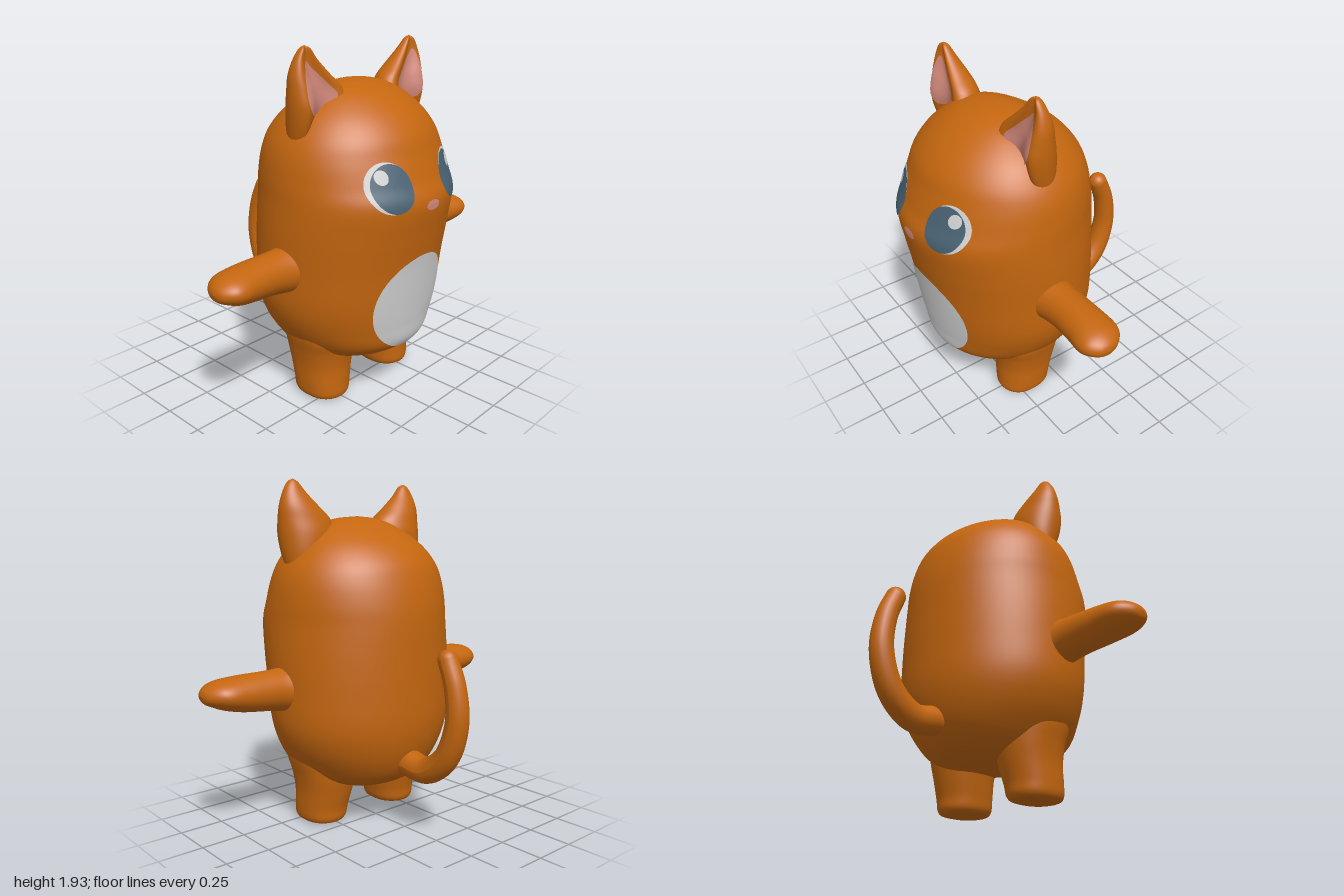
import * as THREE from 'three';

const mat = (name, color) => {
  const m = new THREE.MeshStandardMaterial({ color });
  m.name = name;
  return m;
};

// Smoothly resample rows of [t, a0, a1, b0, b1]
function smoothRows(rows, n) {
  const p = new THREE.CatmullRomCurve3(rows.map(r => new THREE.Vector3(r[0], r[1], r[2])), false, 'catmullrom');
  const q = new THREE.CatmullRomCurve3(rows.map(r => new THREE.Vector3(r[0], r[3], r[4])), false, 'catmullrom');
  return Array.from({ length: n + 1 }, (_, i) => {
    const u = p.getPoint(i / n), v = q.getPoint(i / n);
    return [u.x, u.y, u.z, v.y, v.z];
  });
}

const round = s => s;
const cupped = s => (s > 0 ? s * (1 - 0.75 * s ** 4) : s); // hollow on the front side

// Skin a stack of oval sections; place() maps (t, a, b) to a point
function loft(rows, place, profile = round, segs = 56) {
  const pos = [], idx = [];
  rows.forEach(([t, a0, a1, b0, b1], i) => {
    for (let j = 0; j < segs; j++) {
      const th = (j / segs) * Math.PI * 2;
      pos.push(...place(t,
        (a0 + a1) / 2 + ((a1 - a0) / 2) * Math.cos(th),
        (b0 + b1) / 2 + ((b1 - b0) / 2) * profile(Math.sin(th))));
      if (i === rows.length - 1) continue;
      const k = (j + 1) % segs, p = i * segs, q = p + segs;
      idx.push(p + j, q + j, p + k, p + k, q + j, q + k);
    }
  });
  // Turn faces outward if the signed volume is negative
  const v = i => new THREE.Vector3().fromArray(pos, i * 3);
  let vol = 0;
  for (let i = 0; i < idx.length; i += 3) vol += v(idx[i]).dot(v(idx[i + 1]).cross(v(idx[i + 2])));
  if (vol < 0) idx.reverse();
  return geometry(pos, idx);
}

function geometry(pos, idx) {
  const g = new THREE.BufferGeometry();
  g.setAttribute('position', new THREE.Float32BufferAttribute(pos, 3));
  g.setIndex(idx);
  g.computeVertexNormals();
  return g;
}

// Front z of a lofted surface at (x, y)
const frontOf = (rows, profile = round) => (x, y) => {
  let i = 0;
  while (i < rows.length - 2 && rows[i + 1][0] < y) i++;
  const f = (y - rows[i][0]) / (rows[i + 1][0] - rows[i][0]);
  const [, a0, a1, b0, b1] = rows[i].map((v, k) => THREE.MathUtils.lerp(v, rows[i + 1][k], f));
  const u = THREE.MathUtils.clamp((x - (a0 + a1) / 2) / ((a1 - a0) / 2), -1, 1);
  return (b0 + b1) / 2 + ((b1 - b0) / 2) * profile(Math.sqrt(1 - u * u));
};

// Thin painted patch that follows a surface; outline runs counter-clockwise
function patch(cx, cy, outline, zAt, lift, rings = 8) {
  const pos = [], idx = [], n = outline.length;
  for (let r = 0; r <= rings; r++) {
    outline.forEach(([px, py], j) => {
      const x = cx + ((px - cx) * r) / rings, y = cy + ((py - cy) * r) / rings;
      pos.push(x, y, zAt(x, y) + lift);
      if (r === rings) return;
      const k = (j + 1) % n, a = r * n, b = a + n;
      idx.push(a + j, b + j, b + k, a + j, b + k, a + k);
    });
  }
  return geometry(pos, idx);
}

const oval = (cx, cy, rx, ry, n = 48) => Array.from({ length: n }, (_, i) => {
  const a = (i / n) * Math.PI * 2;
  return [cx + rx * Math.cos(a), cy + ry * Math.sin(a)];
});

export function createModel() {
  const model = new THREE.Group();
  model.name = 'cat';
  const fur = mat('orange fur', 0xc4660f), white = mat('white', 0xd2d2d2);
  const pink = mat('pink', 0xd2877a), iris = mat('slate blue', 0x496273);
  const add = (name, geo, material) => {
    const m = new THREE.Mesh(geo, material);
    m.name = name;
    model.add(m);
    return m;
  };
  const upright = (t, a, b) => [a, t, b];
  const sideways = (t, a, b) => [t, a, b];

  // Body: [y, half width, back z, front z]
  const body = smoothRows([
    [0.215, 0, 0.16, 0.16], [0.225, 0.2, -0.06, 0.34], [0.28, 0.34, -0.19, 0.48],
    [0.36, 0.42, -0.265, 0.58], [0.48, 0.495, -0.315, 0.605], [0.62, 0.538, -0.34, 0.625],
    [0.82, 0.545, -0.342, 0.653], [1.0, 0.545, -0.338, 0.685], [1.17, 0.536, -0.332, 0.71],
    [1.28, 0.528, -0.32, 0.67], [1.4, 0.508, -0.292, 0.625], [1.5, 0.465, -0.25, 0.585],
    [1.6, 0.385, -0.16, 0.505], [1.69, 0.262, -0.02, 0.385], [1.735, 0.14, 0.08, 0.27],
    [1.75, 0, 0.16, 0.16],
  ].map(([y, w, b, f]) => [y, -w, w, b, f]), 90);
  add('body', loft(body, upright, round, 72), fur);
  const face = frontOf(body);

  // Belly and nose
  add('belly', patch(0, 0.61, oval(0, 0.61, 0.27, 0.275, 64), face, 0.005, 12), white);
  add('nose', patch(0, 1.165, oval(0, 1.165, 0.05, 0.026), face, 0.006), pink);

  const earRows = [
    [1.45, 0.28, 0.46, 0.1, 0.26], [1.55, 0.22, 0.478, 0.08, 0.32], [1.65, 0.16, 0.49, 0.08, 0.345],
    [1.73, 0.175, 0.492, 0.1, 0.325], [1.8, 0.25, 0.488, 0.125, 0.295], [1.87, 0.325, 0.468, 0.16, 0.265],
    [1.925, 0.372, 0.435, 0.19, 0.245], [1.943, 0.405, 0.405, 0.215, 0.215],
  ];
  const earOutline = [[0.4, 1.61], [0.44, 1.65], [0.452, 1.73], [0.44, 1.82], [0.415, 1.87],
    [0.375, 1.835], [0.3, 1.765], [0.24, 1.695], [0.29, 1.65]];
  const legRows = [
    [0.012, 0.26, 0.26, 0.19, 0.19], [0.012, 0.17, 0.36, 0.07, 0.31], [0.035, 0.135, 0.392, 0.035, 0.343],
    [0.1, 0.12, 0.4, 0.025, 0.345], [0.2, 0.1, 0.405, 0.0, 0.345], [0.3, 0.08, 0.422, -0.02, 0.36],
    [0.4, 0.08, 0.445, -0.02, 0.38], [0.55, 0.12, 0.46, 0.02, 0.34],
  ];
  const armRows = [
    [0.45, 0.68, 0.95, 0.03, 0.31], [0.55, 0.7, 0.935, 0.055, 0.285], [0.65, 0.715, 0.93, 0.058, 0.28],
    [0.78, 0.73, 0.927, 0.058, 0.293], [0.88, 0.752, 0.917, 0.06, 0.312], [0.94, 0.775, 0.902, 0.085, 0.3],
    [0.985, 0.8, 0.872, 0.14, 0.255], [1.0, 0.838, 0.838, 0.2, 0.2],
  ];

  for (const s of [1, -1]) {
    const side = s > 0 ? 'left' : 'right';
    const mirror = (rows) => rows.map(([t, a0, a1, b0, b1]) => (s > 0 ? [t, a0, a1, b0, b1] : [t, -a1, -a0, b0, b1]));

    // Ear with a pink hollow
    const ear = smoothRows(mirror(earRows), 40);
    add(side + 'Ear', loft(ear, upright, cupped), fur);
    const curve = new THREE.CatmullRomCurve3(earOutline.map(([x, y]) => new THREE.Vector3(s * x, y, 0)), true);
    const edge = curve.getPoints(48).slice(0, -1).map(p => [p.x, p.y]);
    if (s < 0) edge.reverse();
    add(side + 'InnerEar', patch(s * 0.385, 1.72, edge, frontOf(ear, cupped), 0.006), pink);

    // Leg and arm
    add(side + 'Leg', loft(smoothRows(mirror(legRows), 40), upright,
      v => Math.sign(v) * Math.abs(v) ** 0.8), fur);
    add(side + 'Arm', loft(smoothRows(armRows, 40), (t, a, b) => sideways(s * t, a, b)), fur);

    // Eye: white, iris, highlight
    add(side + 'EyeWhite', patch(s * 0.235, 1.278, oval(s * 0.235, 1.278, 0.112, 0.124), face, 0.004), white);
    add(side + 'Iris', patch(s * 0.22, 1.274, oval(s * 0.22, 1.274, 0.104, 0.119), face, 0.007), iris);
    add(side + 'EyeHighlight', patch(s * 0.267, 1.333, oval(s * 0.267, 1.333, 0.033, 0.036), face, 0.0095), white);
  }

  // Tail: tapered tube with a flat root and a rounded tip
  const path = new THREE.CatmullRomCurve3([
    [0.4, -0.27], [0.388, -0.42], [0.49, -0.56], [0.69, -0.632], [0.88, -0.615], [1.015, -0.562],
  ].map(([y, z]) => new THREE.Vector3(0, y, z)));
  const rings = 40, sides = 20;
  const tail = new THREE.TubeGeometry(path, rings, 0.078, sides, false);
  const p = tail.attributes.position, v = new THREE.Vector3();
  for (let i = 0; i < p.count; i++) {
    const t = Math.floor(i / (sides + 1)) / rings, c = path.getPointAt(t);
    v.fromBufferAttribute(p, i).sub(c).multiplyScalar(1 - 0.3 * t).add(c);
    p.setXYZ(i, v.x, v.y, v.z);
  }
  tail.computeVertexNormals();
  add('tail', tail, fur);
  add('tailTip', new THREE.SphereGeometry(0.0546, 20, 14), fur).position.copy(path.getPointAt(1));
  const root = add('tailRoot', new THREE.CircleGeometry(0.078, sides), fur);
  root.position.copy(path.getPointAt(0));
  root.lookAt(root.position.clone().sub(path.getTangentAt(0)));

  return model;
}
